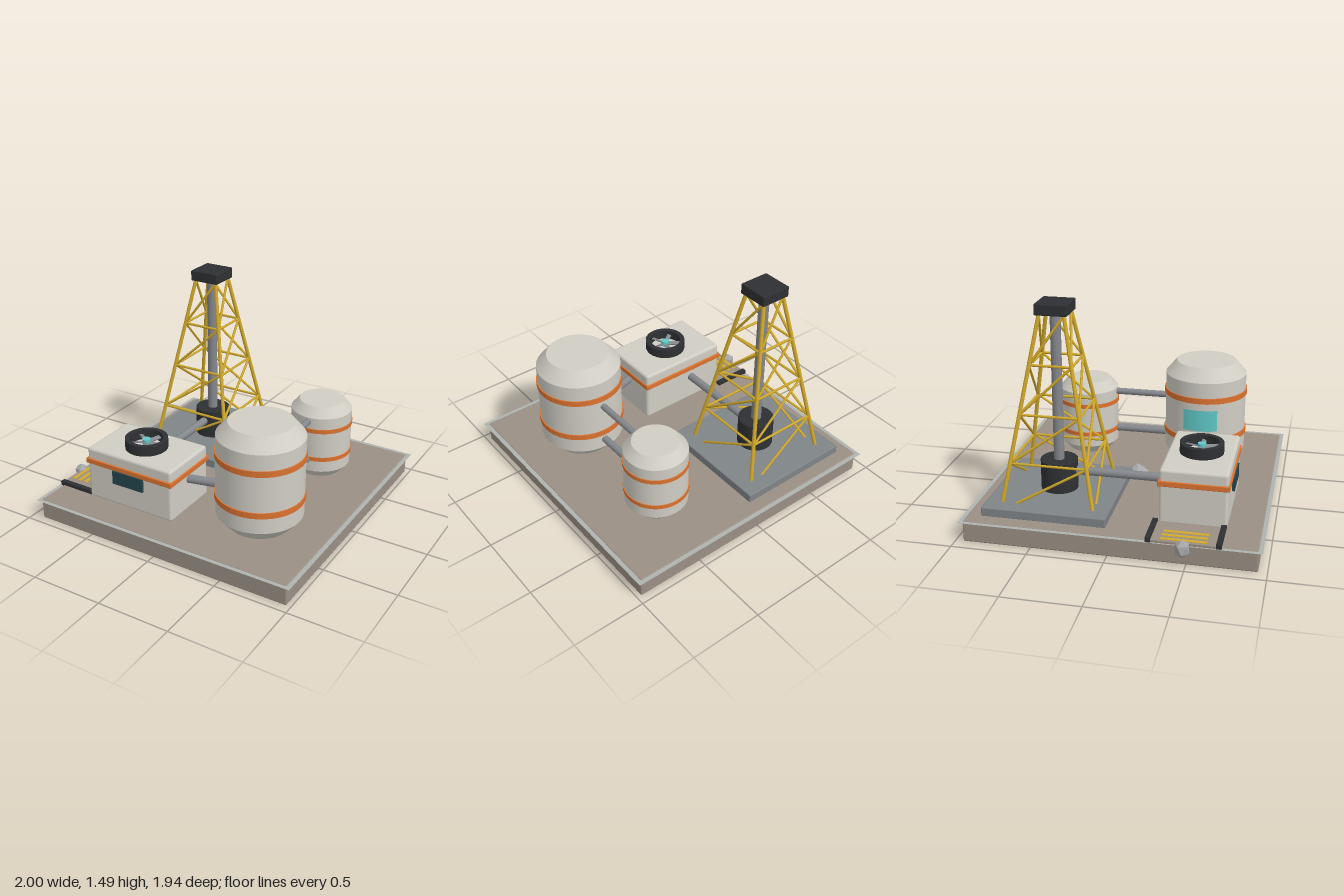
import * as THREE from 'three';
import { RoundedBoxGeometry } from 'three/addons/geometries/RoundedBoxGeometry.js';

const V = (x, y, z) => new THREE.Vector3(x, y, z);
const mat = (color, extra = {}) => new THREE.MeshStandardMaterial({ color, ...extra });
const M = {
  soil: mat(0x9a8f84), shell: mat(0xd0cdc4), orange: mat(0xdc7330), yellow: mat(0xd2aa2c),
  dark: mat(0x2e3033), pipe: mat(0x84878c), pad: mat(0x7f8488), glass: mat(0x23464d),
  teal: mat(0x62c8c8, { side: THREE.DoubleSide }), rock: mat(0xa6a6a8, { flatShading: true }),
  apron: mat(0xaeb3b0, { side: THREE.DoubleSide }),
};

function add(parent, name, geometry, material, x = 0, y = 0, z = 0) {
  const mesh = new THREE.Mesh(geometry, material);
  mesh.name = name;
  mesh.position.set(x, y, z);
  parent.add(mesh);
  return mesh;
}

function group(parent, name, x = 0, y = 0, z = 0) {
  const g = new THREE.Group();
  g.name = name;
  g.position.set(x, y, z);
  parent.add(g);
  return g;
}

const box = (w, h, d) => new THREE.BoxGeometry(w, h, d);
const rounded = (w, h, d, r) => new RoundedBoxGeometry(w, h, d, 2, r);

// Round bar between two points
function bar(parent, name, a, b, r, material, sides = 8) {
  const mesh = add(parent, name, new THREE.CylinderGeometry(r, r, a.distanceTo(b), sides), material);
  mesh.position.copy(a).add(b).multiplyScalar(0.5);
  mesh.quaternion.setFromUnitVectors(V(0, 1, 0), b.clone().sub(a).normalize());
  return mesh;
}

// Flat-ended ring around the y axis
function ring(outer, inner, h, sides = 40) {
  const pts = [[inner, -h / 2], [outer, -h / 2], [outer, h / 2], [inner, h / 2], [inner, -h / 2]];
  const geo = new THREE.LatheGeometry(pts.map(p => new THREE.Vector2(...p)), sides).toNonIndexed();
  geo.computeVertexNormals();
  return geo;
}

// Storage tank with tapered ends and two bands
function tank(parent, name, x, z, s) {
  const g = group(parent, name, x, 0.145, z);
  g.scale.setScalar(s);
  const R = 0.29, end = 0.213;
  const section = (label, rTop, rBottom, y0, y1) => add(g, label,
    new THREE.CylinderGeometry(rTop, rBottom, y1 - y0, 40), M.shell, 0, (y0 + y1) / 2, 0);
  section('tankFoot', R, end, 0, 0.088);
  section('tankBody', R, R, 0.088, 0.645);
  section('tankShoulder', end, R, 0.645, 0.735);
  for (const y of [0.22, 0.515]) add(g, 'tankBand', ring(0.298, 0.28, 0.04), M.orange, 0, y, 0);
  return g;
}

function derrick(parent) {
  const g = group(parent, 'derrick', -0.41, 0, -0.443);
  const y0 = 0.14, y1 = 1.417, levels = 4;
  const corners = [[-1, -1], [-1, 1], [1, 1], [1, -1]];
  const node = (i, k) => {
    const t = k / levels, half = 0.313 + (0.082 - 0.313) * t;
    const [cx, cz] = corners[i % 4];
    return V(cx * half, y0 + (y1 - y0) * t, cz * half);
  };
  for (let i = 0; i < 4; i++) {
    bar(g, 'derrickLeg', node(i, 0), node(i, levels), 0.0135, M.yellow);
    for (let k = 0; k < levels; k++) {
      bar(g, 'diagonalBrace', node(i, k), node(i + 1, k + 1), 0.009, M.yellow, 6);
      if (k > 0) bar(g, 'crossBrace', node(i, k), node(i + 1, k), 0.009, M.yellow, 6);
    }
  }
  add(g, 'crownBlock', rounded(0.216, 0.075, 0.216, 0.008), M.dark, 0, 1.452, 0);
  bar(g, 'drillPipe', V(0, 0.2, 0), V(0, 1.43, 0), 0.035, M.pipe, 20);
  add(g, 'wellhead', new THREE.CylinderGeometry(0.125, 0.125, 0.21, 28), M.dark, 0, 0.305, 0);
}

function pumpHouse(parent) {
  const g = group(parent, 'pumpHouse', -0.338, 0, 0.502);
  add(g, 'houseBody', rounded(0.674, 0.375, 0.44, 0.02), M.shell, 0, 0.325, 0);
  add(g, 'houseBand', rounded(0.69, 0.038, 0.46, 0.006), M.orange, 0, 0.417, 0);
  add(g, 'window', box(0.242, 0.095, 0.03), M.glass, 0, 0.353, 0.223);

  // Roof fan
  const fan = group(g, 'roofFan', 0, 0.51, 0.003);
  add(fan, 'fanHousing', ring(0.145, 0.112, 0.075), M.dark, 0, 0.035, 0);
  add(fan, 'fanHub', new THREE.CylinderGeometry(0.028, 0.028, 0.04, 20), M.teal, 0, 0.042, 0);
  for (let i = 0; i < 5; i++) {
    const arm = group(fan, 'fanBladeArm', 0, 0.038, 0);
    arm.rotation.y = (i / 5) * Math.PI * 2;
    add(arm, 'fanBlade', box(0.095, 0.008, 0.03), M.pipe, 0.068, 0, 0).rotation.x = 0.35;
  }
}

function loadingStep(parent) {
  const g = group(parent, 'loadingStep', -0.803, 0, 0.482);
  add(g, 'stepPlate', box(0.264, 0.015, 0.43), M.soil, 0, 0.148, 0);
  for (const s of [-1, 1]) add(g, 'stepRail', box(0.27, 0.034, 0.034), M.dark, 0, 0.153, s * 0.22);
  for (const x of [-0.097, -0.047, 0.003]) {
    add(g, 'hazardStripe', box(0.026, 0.006, 0.29), M.yellow, x, 0.155, 0);
  }
}

export function createModel() {
  const model = new THREE.Group();
  model.name = 'drillingSite';

  // Ground
  add(model, 'groundSlab', rounded(1.89, 0.145, 1.89, 0.01), M.soil, 0.026, 0.0725, -0.002);
  add(model, 'groundApron', new THREE.PlaneGeometry(1.943, 1.943).rotateX(-Math.PI / 2),
    M.apron, 0.0275, 0.14, -0.003);
  add(model, 'derrickPad', rounded(0.824, 0.065, 0.824, 0.008), M.pad, -0.412, 0.172, -0.443);

  derrick(model);
  pumpHouse(model);
  loadingStep(model);

  // Tanks
  const large = tank(model, 'largeTank', 0.487, 0.412, 1);
  tank(model, 'smallTank', 0.487, -0.465, 0.737);
  add(large, 'levelGauge', new THREE.CylinderGeometry(0.295, 0.295, 0.155, 12, 1, true,
    Math.PI * 1.5 - 0.42, 0.84), M.teal, 0, 0.367, 0);

  // Connecting pipes
  bar(model, 'tankPipe', V(0.487, 0.59, -0.4), V(0.487, 0.59, 0.3), 0.023, M.pipe, 16);
  bar(model, 'tankPipe', V(0.487, 0.3, -0.4), V(0.487, 0.3, 0.3), 0.026, M.pipe, 16);
  bar(model, 'housePipe', V(-0.1, 0.366, 0.53), V(0.35, 0.366, 0.425), 0.029, M.pipe, 16);
  bar(model, 'wellPipe', V(-0.41, 0.335, -0.4), V(-0.41, 0.335, 0.35), 0.029, M.pipe, 16);

  // Rocks
  const up = Math.atan(2 / (1 + Math.sqrt(5)));
  const rockShape = r => new THREE.IcosahedronGeometry(r, 0).rotateZ(up);
  add(model, 'largeRock', rockShape(0.092), M.rock, 0.03, 0.13, -0.002).rotation.y = 0.3;
  const small = add(model, 'smallRock', rockShape(0.06), M.rock, -0.953, 0.128, 0.48);
  small.scale.set(0.8, 1.05, 0.9);
  small.rotation.y = 0.8;
  return model;
}
